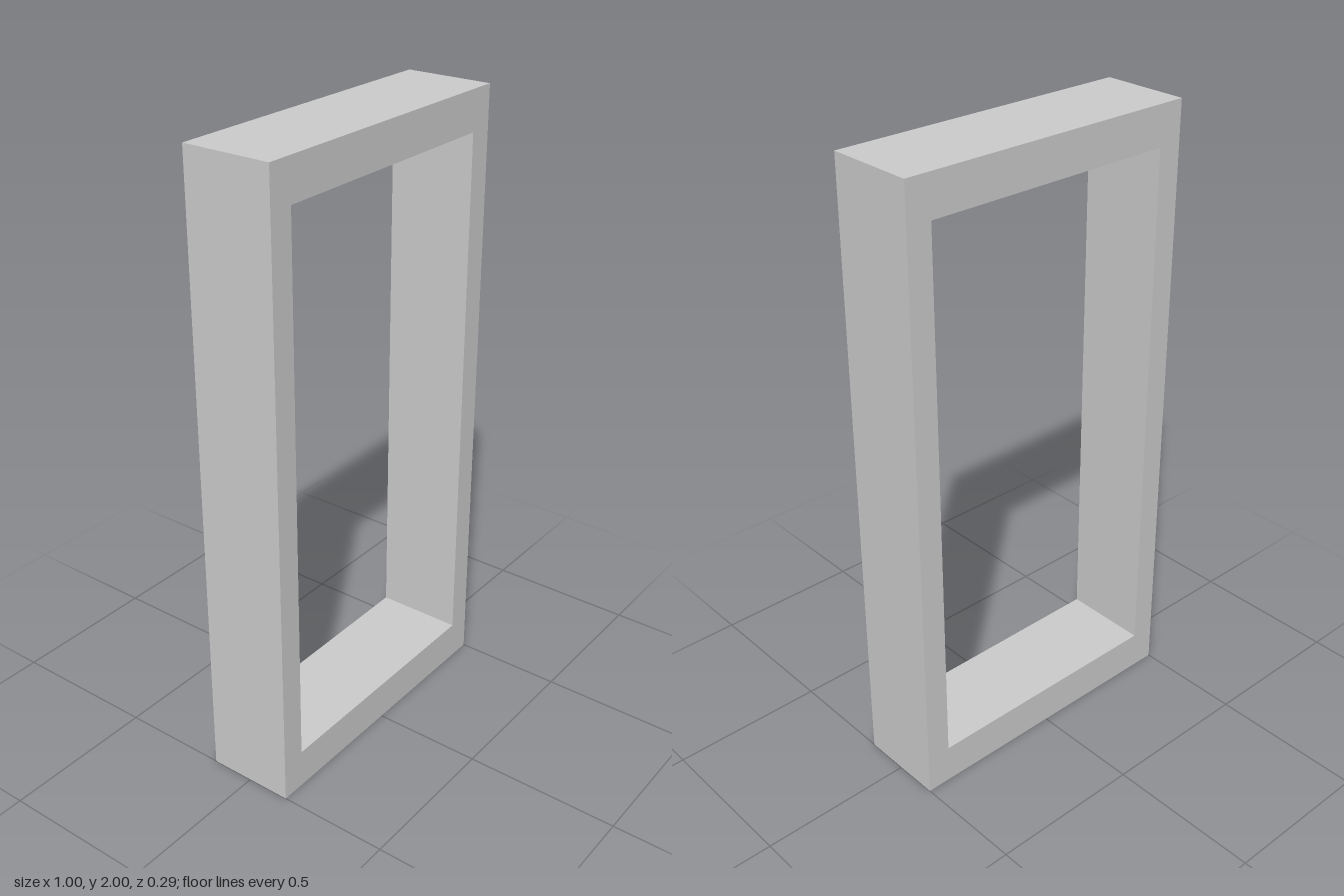
import * as THREE from 'three';

const WIDTH = 1, HEIGHT = 2, DEPTH = 0.286;
const SIDE = 0.08, RAIL = 0.128; // widths of the uprights and of the top and bottom rails

// Corners of an upright rectangle centred on x = 0
function rectangle(halfWidth, bottom, top) {
  return [
    new THREE.Vector2(-halfWidth, bottom),
    new THREE.Vector2(halfWidth, bottom),
    new THREE.Vector2(halfWidth, top),
    new THREE.Vector2(-halfWidth, top),
  ];
}

export function createModel() {
  const group = new THREE.Group();
  group.name = 'openFrame';

  // Rectangular frame with an open middle, extruded through its depth
  const outline = new THREE.Shape(rectangle(WIDTH / 2, 0, HEIGHT));
  outline.holes.push(new THREE.Path(rectangle(WIDTH / 2 - SIDE, RAIL, HEIGHT - RAIL)));
  const geometry = new THREE.ExtrudeGeometry(outline, { depth: DEPTH, bevelEnabled: false });
  geometry.translate(0, 0, -DEPTH / 2);

  const frame = new THREE.Mesh(geometry, new THREE.MeshStandardMaterial({ color: 0xcccccc }));
  frame.name = 'frame';
  group.add(frame);
  return group;
}
